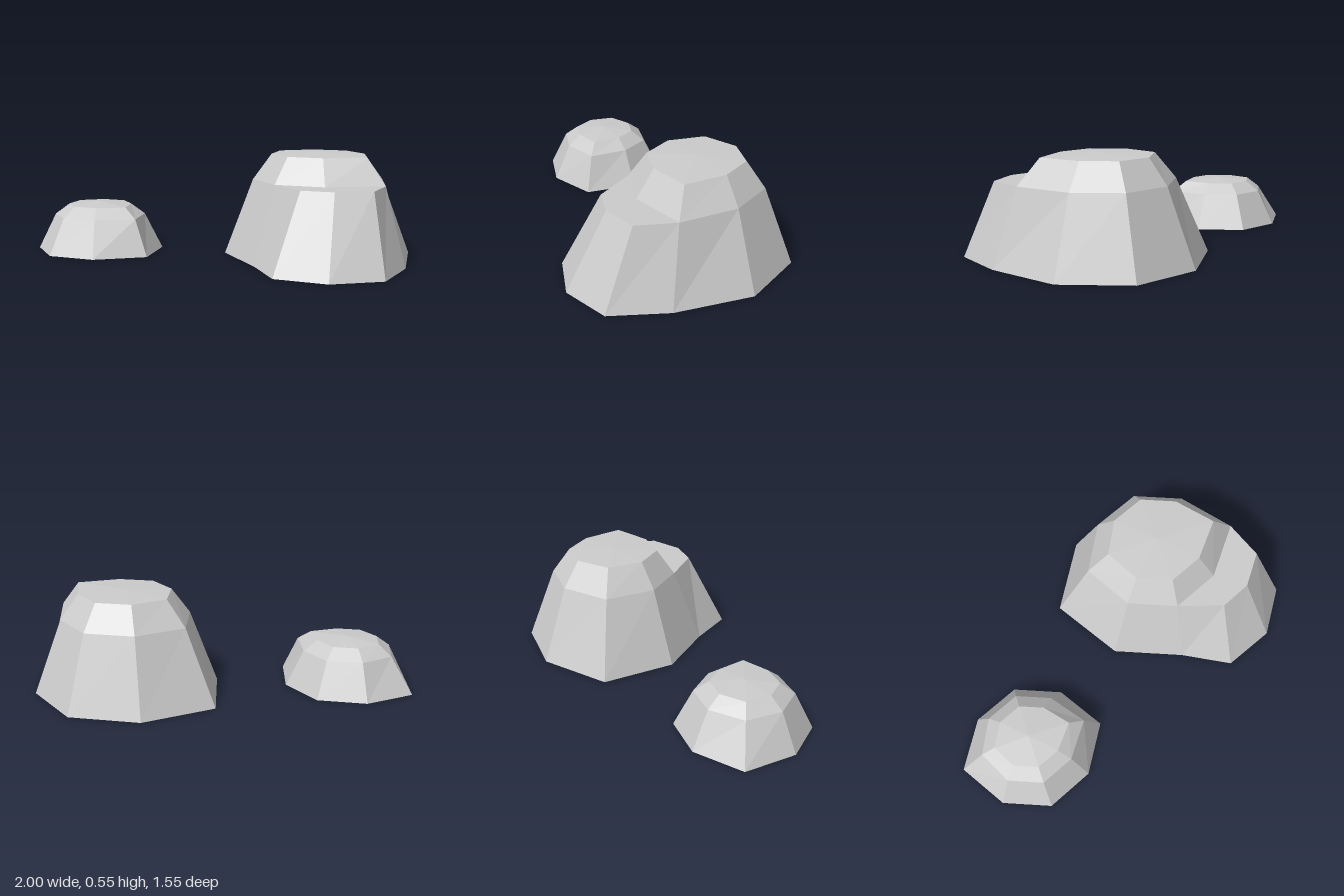
import * as THREE from 'three';

// Eight-sided ring; the two side corners have their own reach
function ring(cx, cz, y, r, left, right) {
  const d = r * Math.SQRT1_2;
  return [[right, 0], [d, d], [0, r], [-d, d], [-left, 0], [-d, -d], [0, -r], [d, -d]]
    .map(([x, z]) => [cx + x, y, cz + z]);
}

// Quads between two rings with the same number of corners
function band(low, high) {
  return low.flatMap((a, i) => {
    const j = (i + 1) % low.length;
    return [a, high[i], low[j], low[j], high[i], high[j]];
  });
}

// Upward-facing triangles from a hub to a row of corners
function fan(hub, row) {
  return row.slice(1).flatMap((p, i) => [hub, p, row[i]]);
}

const closed = (row) => [...row, row[0]];

function rock(name, points) {
  const geometry = new THREE.BufferGeometry();
  geometry.setAttribute('position', new THREE.Float32BufferAttribute(points.flat(), 3));
  geometry.computeVertexNormals();
  const mesh = new THREE.Mesh(geometry, new THREE.MeshStandardMaterial({ color: 0xcccccc, flatShading: true }));
  mesh.name = name;
  return mesh;
}

export function createModel() {
  const group = new THREE.Group();
  group.name = 'rocks';

  // Small rock: three rings, a low peak and a flat underside
  {
    const [x, z] = [-0.61, 0.435];
    const base = ring(x, z, 0, 0.34, 0.39, 0.39);
    const shoulder = ring(x, z, 0.19, 0.245, 0.26, 0.3);
    const crown = ring(x, z, 0.245, 0.17, 0.185, 0.22);
    group.add(rock('smallRock', [
      ...band(base, shoulder),
      ...band(shoulder, crown),
      ...fan([x, 0.26, z], closed(crown)),
      ...fan([x, 0, z], closed(base).reverse()),
    ]));
  }

  // Large rock: the lower part bulges out at one corner into a ledge
  {
    const [x, z] = [0.343, -0.285];
    const base = ring(x, z, 0, 0.495, 0.565, 0.567);
    const shoulder = ring(x, z, 0.4, 0.345, 0.383, 0.438);
    const crown = ring(x, z, 0.535, 0.247, 0.268, 0.322);
    const bulge = (row, corners) => [row[0], ...corners, ...row.slice(2)];
    const lowRow = bulge(base, [[1, 0, 0.015], [0.845, 0, 0.245], [0.585, 0, 0.345]]);
    const ledgeRow = bulge(shoulder, [[0.853, 0.4, -0.085], [0.735, 0.4, 0.07], [0.577, 0.4, 0.137]]);
    group.add(rock('largeRock', [
      ...band(lowRow, ledgeRow),
      ...fan(shoulder[1], ledgeRow.slice(0, 5)),
      ...band(shoulder, crown),
      ...fan([x, 0.545, z], closed(crown)),
      ...fan([x, 0, z], closed(lowRow).reverse()),
    ]));
  }

  return group;
}
